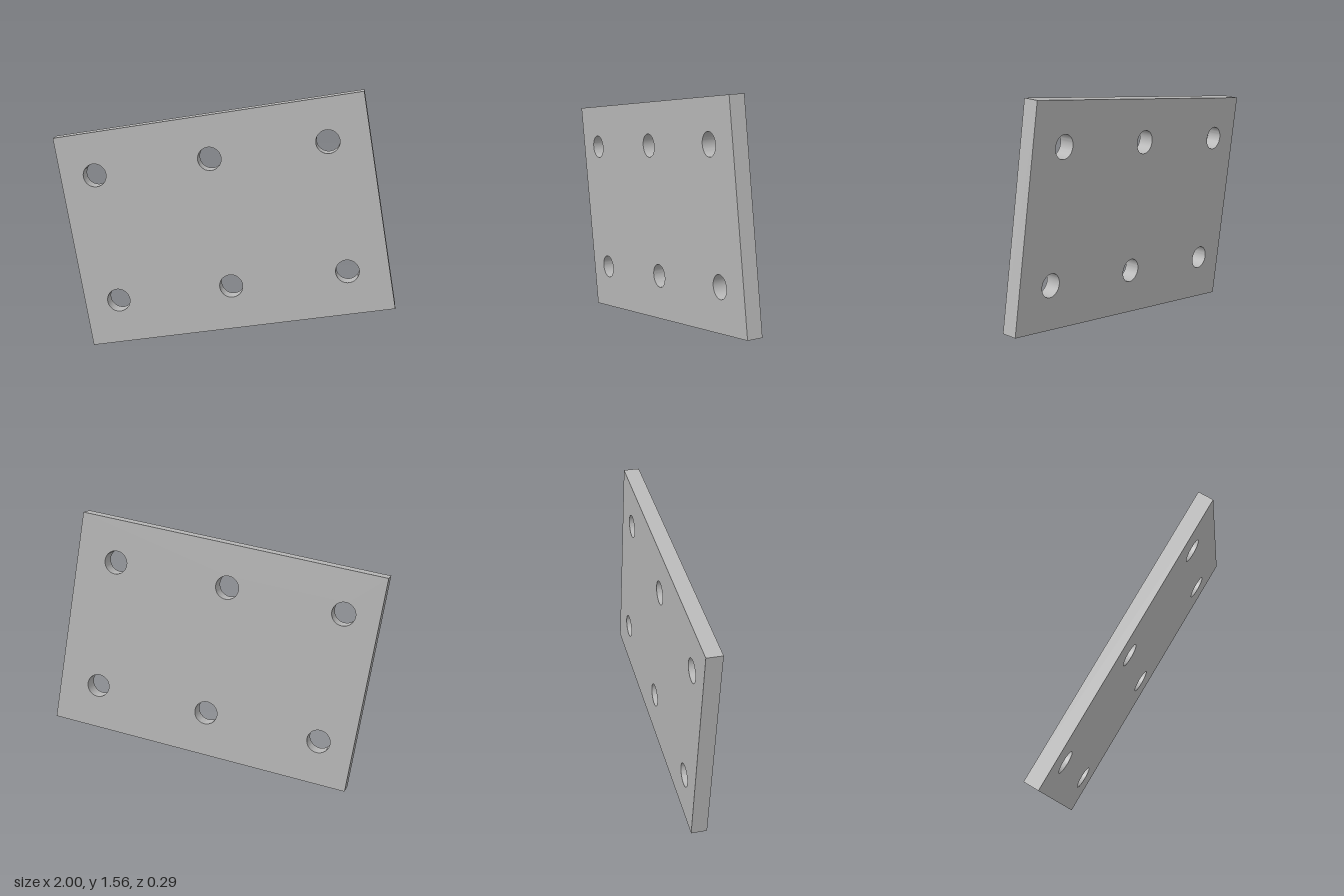
import * as THREE from 'three';
import { toCreasedNormals } from 'three/addons/utils/BufferGeometryUtils.js';

const WIDTH = 1.813, HEIGHT = 1.271, DEPTH = 0.092;
const HOLE_RADIUS = 0.068, HOLE_STEP = 0.684, ROW_STEP = 0.763;
const OFFSET_X = -0.018, OFFSET_Y = 0.003; // the hole grid sits slightly off centre

export function createModel() {
  const grey = new THREE.MeshStandardMaterial({ color: 0xb8b8b8 });
  grey.name = 'plate grey';

  // Rectangular outline
  const w = WIDTH / 2, h = HEIGHT / 2;
  const outline = new THREE.Shape([
    new THREE.Vector2(-w, -h), new THREE.Vector2(w, -h),
    new THREE.Vector2(w, h), new THREE.Vector2(-w, h),
  ]);

  // Two rows of three round through-holes
  for (const row of [-0.5, 0.5]) {
    for (const column of [-1, 0, 1]) {
      const hole = new THREE.Path();
      hole.absarc(OFFSET_X + column * HOLE_STEP, OFFSET_Y + row * ROW_STEP, HOLE_RADIUS, 0, Math.PI * 2, true);
      outline.holes.push(hole);
    }
  }

  // Plate with sharp edges and smooth hole walls
  const solid = new THREE.ExtrudeGeometry(outline, { depth: DEPTH, bevelEnabled: false, curveSegments: 24 });
  solid.translate(0, 0, -DEPTH / 2);
  const plate = new THREE.Mesh(toCreasedNormals(solid, 0.6), grey);
  plate.name = 'drilledPlate';

  // Tilted in its own plane, then turned about the vertical
  plate.rotation.set(0, 0.0974, 0.1678, 'YXZ');
  plate.position.y = (WIDTH * Math.sin(0.1678) + HEIGHT * Math.cos(0.1678)) / 2;

  const model = new THREE.Group();
  model.name = 'mountingPlate';
  model.add(plate);
  return model;
}
